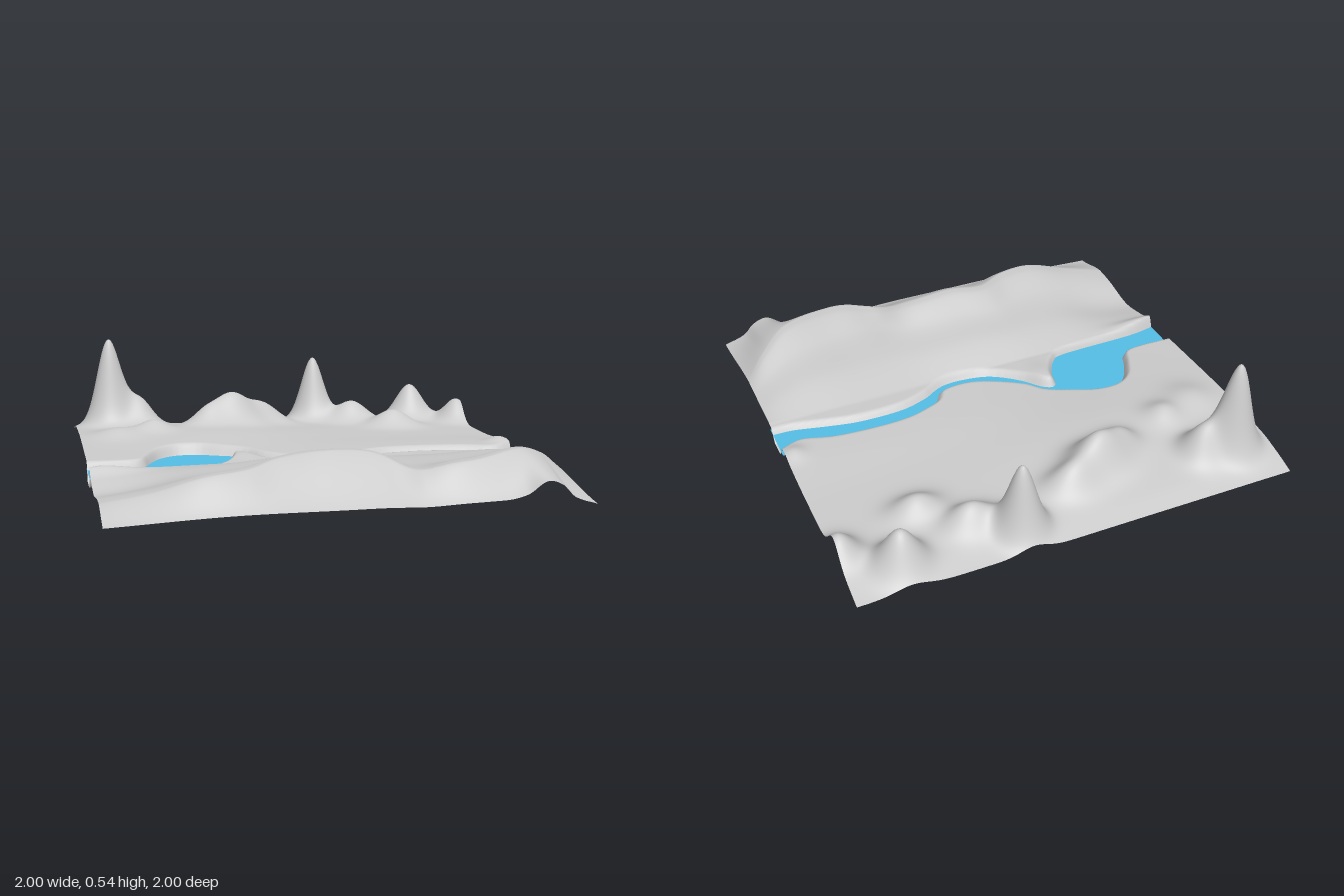
import * as THREE from 'three';

const WATER_Y = 0.063;

// Visible shorelines as [x, z], west to east
const northBank = [[-1, 0.085], [-0.85, 0.09], [-0.75, 0.07], [-0.71, -0.01], [-0.66, -0.11], [-0.58, -0.165],
  [-0.48, -0.165], [-0.38, -0.12], [-0.27, -0.06], [-0.2, 0.025], [-0.07, 0.11], [0.05, 0.152], [0.18, 0.14],
  [0.23, 0.075], [0.3, 0.042], [0.4, 0.012], [0.55, 0.005], [0.75, 0.02], [0.9, 0.06], [1, 0.02]];
const southBank = [[-1, 0.24], [-0.85, 0.21], [-0.5, 0.195], [-0.42, 0.165], [-0.36, 0.07], [-0.335, -0.015],
  [-0.28, 0], [-0.2, 0.09], [-0.08, 0.175], [0.05, 0.202], [0.15, 0.197], [0.22, 0.165], [0.27, 0.135],
  [0.4, 0.095], [0.6, 0.09], [0.75, 0.115], [0.9, 0.148], [1, 0.15]];

// Edge of the water sheet, hidden beneath the banks
const sheetEdge = [[-1, 0.035], [-0.8, 0.025], [-0.76, -0.19], [-0.4, -0.19], [-0.2, -0.03], [-0.05, 0.08],
  [0.1, 0.125], [0.2, 0.08], [0.35, 0], [0.55, -0.02], [0.8, -0.005], [1, -0.01], [1, 0.195], [0.9, 0.19],
  [0.6, 0.14], [0.3, 0.185], [0.15, 0.245], [-0.05, 0.235], [-0.2, 0.15], [-0.28, 0.06], [-0.36, 0.2],
  [-0.5, 0.235], [-1, 0.275]];

// The channel runs past both ends so it stays open at the borders
const smooth = (pts) => new THREE.SplineCurve(pts.map(([x, z]) => new THREE.Vector2(x, z))).getPoints(70)
  .map((p) => [p.x, p.y]);
const outline = [[-1.2, 0.085], ...smooth(northBank), [1.2, 0.02], [1.2, 0.15],
  ...smooth(southBank).reverse(), [-1.2, 0.24]];

// Land north of the river, along z, at the west and east borders
const westLand = [[-1, 0.06], [-0.9, 0.085], [-0.75, 0.105], [-0.6, 0.115], [-0.3, 0.115], [-0.1, 0.108], [0.2, 0.095]];
const eastLand = [[-1, 0.04], [-0.88, 0.065], [-0.7, 0.065], [-0.5, 0.068], [-0.3, 0.072], [-0.1, 0.085], [0.2, 0.09]];

// Southern ridge, front border and river bed, along x
const crestZ = [[-1, 0.8], [-0.8, 0.84], [-0.6, 0.86], [-0.42, 0.82], [-0.27, 0.72], [-0.1, 0.72], [0.08, 0.71],
  [0.18, 0.74], [0.3, 0.84], [0.5, 0.86], [0.75, 0.76], [0.9, 0.64], [1, 0.55]];
const crestY = [[-1, 0.085], [-0.8, 0.125], [-0.6, 0.18], [-0.4, 0.197], [-0.28, 0.215], [-0.1, 0.238], [0.1, 0.23],
  [0.28, 0.205], [0.5, 0.2], [0.75, 0.22], [0.9, 0.17], [1, 0.1]];
const frontY = [[-1, 0.035], [-0.5, 0.055], [0, 0.055], [0.6, 0.06], [0.7, 0.08], [0.78, 0.13], [0.85, 0.11],
  [0.9, 0.06], [1, 0.025]];
const bedY = [[-1, 0.015], [-0.55, 0], [-0.43, 0.005], [-0.3, 0.035], [0.85, 0.038], [1, 0.03]];

// Rise from the south bank to the ridge, as a share of each
const ridgeRise = [[0, 0], [0.3, 0.36], [0.65, 0.55], [0.9, 0.96], [1, 1]];

// Peaks, hills, levees and hollows: x, z, height, spread in x, spread in z
const hills = [
  [-0.83, -0.785, 0.435, 0.058, 0.058], [0.235, -0.875, 0.33, 0.057, 0.058], [-0.68, -0.77, 0.135, 0.06, 0.06],
  [0.765, -0.87, 0.18, 0.068, 0.068], [0.98, -0.73, 0.12, 0.06, 0.065], [-0.23, -0.66, 0.155, 0.09, 0.07],
  [-0.37, -0.6, 0.06, 0.06, 0.055], [-0.06, -0.74, 0.1, 0.085, 0.06], [0.42, -0.77, 0.11, 0.08, 0.06],
  [0.6, -0.61, 0.085, 0.08, 0.06], [-0.82, -0.43, 0.035, 0.08, 0.08], [-0.64, -0.5, 0.05, 0.06, 0.06],
  [-0.35, -0.45, 0.03, 0.28, 0.2], [-0.97, 0.255, 0.03, 0.12, 0.03], [0.96, -0.05, 0.025, 0.04, 0.04],
  [-0.3, 0.06, 0.01, 0.04, 0.06], [-0.95, 0.5, -0.04, 0.22, 0.11], [0.28, 0.8, -0.04, 0.08, 0.1],
];

// Smooth interpolation through a table of [position, value]
function sample(table, x) {
  const last = table.length - 1;
  let i = 0;
  while (i < last - 1 && x > table[i + 1][0]) i++;
  const slope = (a, b) => (table[b][1] - table[a][1]) / (table[b][0] - table[a][0]);
  const m0 = slope(Math.max(i - 1, 0), i + 1);
  const m1 = slope(i, Math.min(i + 2, last));
  const [x0, y0] = table[i], [x1, y1] = table[i + 1];
  const w = x1 - x0, t = THREE.MathUtils.clamp((x - x0) / w, 0, 1), u = t * t, c = u * t;
  return (2 * c - 3 * u + 1) * y0 + (c - 2 * u + t) * w * m0 + (3 * u - 2 * c) * y1 + (c - u) * w * m1;
}

// Signed distance to the river outline, negative in the water
function riverDistance(x, z) {
  let best = Infinity, inside = false;
  outline.forEach(([ax, az], i) => {
    const [bx, bz] = outline[(i + 1) % outline.length];
    const dx = bx - ax, dz = bz - az;
    const t = THREE.MathUtils.clamp(((x - ax) * dx + (z - az) * dz) / (dx * dx + dz * dz), 0, 1);
    best = Math.min(best, Math.hypot(x - ax - t * dx, z - az - t * dz));
    if ((az > z) !== (bz > z) && x < ax + (z - az) * dx / dz) inside = !inside;
  });
  return inside ? -best : best;
}

function height(x, z) {
  const { lerp, smoothstep } = THREE.MathUtils;
  const zc = sample(crestZ, x), yc = sample(crestY, x);
  let y;
  if (z < 0.2) y = lerp(sample(westLand, z), sample(eastLand, z), (x + 1) / 2);
  else if (z < zc) {
    y = lerp(0.0925, yc, sample(ridgeRise, (z - 0.2) / (zc - 0.2)));
  } else {
    const t = (z - zc) / (1 - zc);
    y = lerp(yc, sample(frontY, x), 0.6 * t + 0.4 * smoothstep(t, 0, 1));
  }
  for (const [hx, hz, h, sx, sz] of hills) {
    y += h * Math.exp(-0.5 * (((x - hx) / sx) ** 2 + ((z - hz) / sz) ** 2));
  }
  // The bed shelves up in the northern bay
  const bed = lerp(0.045, sample(bedY, x), smoothstep(z, -0.13, 0.02));
  return lerp(bed, y, smoothstep(riverDistance(x, z), -0.028, 0.024));
}

function createTerrain(material) {
  const geometry = new THREE.PlaneGeometry(2, 2, 220, 220).rotateX(-Math.PI / 2);
  const p = geometry.attributes.position;
  for (let i = 0; i < p.count; i++) p.setY(i, Math.max(0, height(p.getX(i), p.getZ(i))));
  geometry.computeVertexNormals();
  const mesh = new THREE.Mesh(geometry, material);
  mesh.name = 'terrain';
  return mesh;
}

function createRiver(material) {
  const shape = new THREE.Shape(sheetEdge.map(([x, z]) => new THREE.Vector2(x, -z)));
  const mesh = new THREE.Mesh(new THREE.ShapeGeometry(shape).rotateX(-Math.PI / 2), material);
  mesh.position.y = WATER_Y;
  mesh.name = 'river';
  return mesh;
}

export function createModel() {
  const land = new THREE.MeshStandardMaterial({ color: 0xcccccc, side: THREE.DoubleSide });
  land.name = 'land grey';
  const water = new THREE.MeshStandardMaterial({ color: 0x56bfe8, side: THREE.DoubleSide });
  water.name = 'water blue';

  const group = new THREE.Group();
  group.name = 'river valley';
  group.add(createTerrain(land), createRiver(water));
  return group;
}
